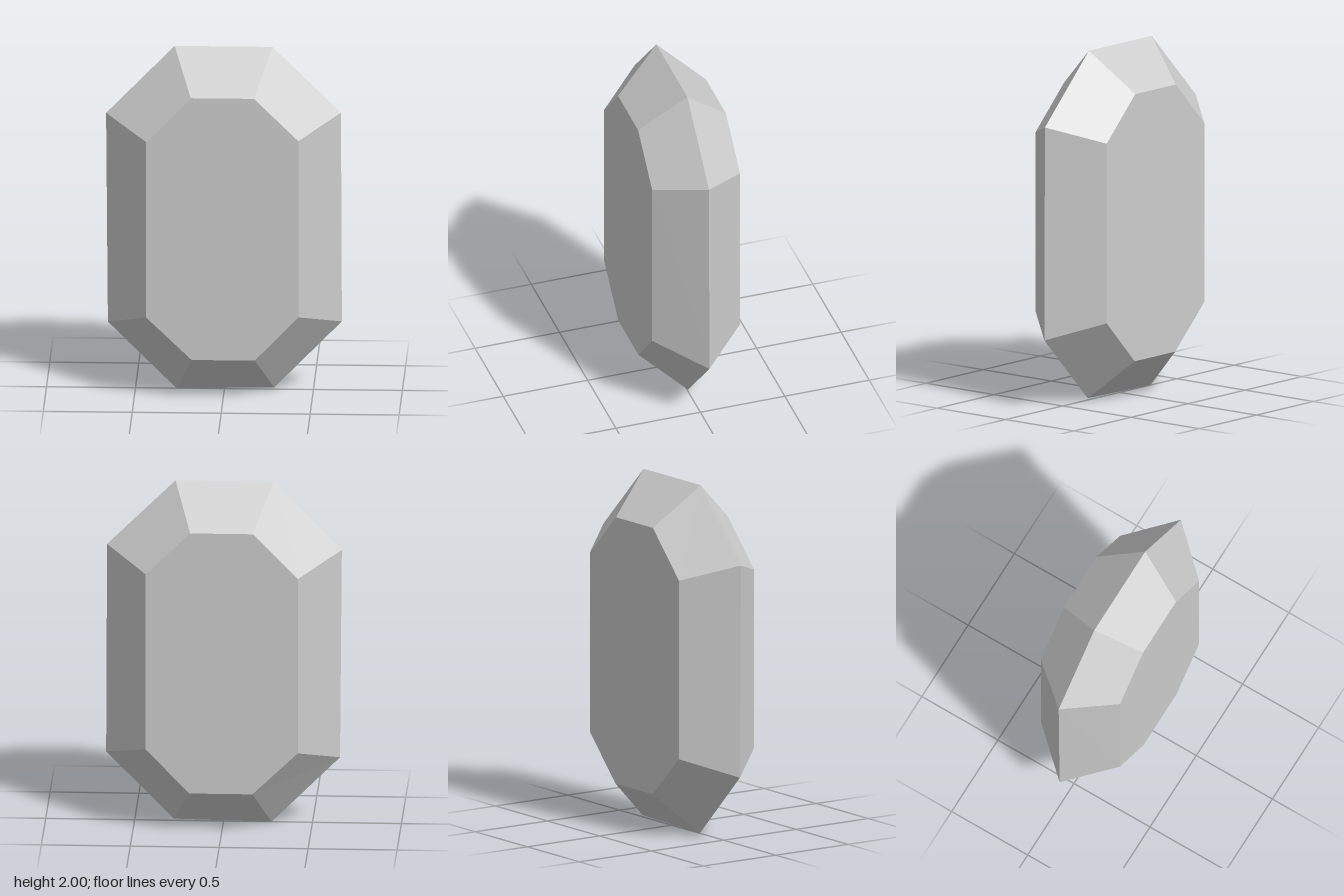
import * as THREE from 'three';

// Outlines, counter-clockwise seen from the front
const GIRDLE = [[0.27, 2], [-0.28, 2], [-0.665, 1.605], [-0.655, 0.385], [-0.27, 0], [0.28, 0.01], [0.66, 0.4], [0.655, 1.62]];
const TABLE = [[0.175, 1.77], [-0.18, 1.77], [-0.43, 1.51], [-0.43, 0.485], [-0.175, 0.24], [0.18, 0.24], [0.425, 0.495], [0.425, 1.525]];
const HALF_DEPTH = 0.26;

// Unshared triangles give each facet its own flat normal
function facets(triangles) {
  const geometry = new THREE.BufferGeometry();
  geometry.setAttribute('position', new THREE.Float32BufferAttribute(triangles.flat(2), 3));
  geometry.computeVertexNormals();
  return geometry;
}

export function createModel() {
  const group = new THREE.Group();
  group.name = 'cutGem';
  const material = new THREE.MeshStandardMaterial({ color: 0xcccccc });
  material.name = 'gem grey';

  for (const side of [1, -1]) {
    const outer = GIRDLE.map(([x, y]) => [x, y, 0]);
    const inner = TABLE.map(([x, y]) => [x, y, side * HALF_DEPTH]);
    const wind = ([a, b, c]) => (side > 0 ? [a, b, c] : [a, c, b]);
    const bevel = [];
    const table = [];
    const n = outer.length;
    for (let i = 0; i < n; i++) {
      const j = (i + 1) % n;
      bevel.push(wind([outer[i], outer[j], inner[j]]), wind([outer[i], inner[j], inner[i]]));
      if (i > 0 && i < n - 1) table.push(wind([inner[0], inner[i], inner[j]]));
    }
    const label = side > 0 ? 'front' : 'back';
    // Sloping facets from the girdle, then the flat table
    for (const [part, triangles] of [['Bevel', bevel], ['Table', table]]) {
      const mesh = new THREE.Mesh(facets(triangles), material);
      mesh.name = label + part;
      group.add(mesh);
    }
  }
  return group;
}
